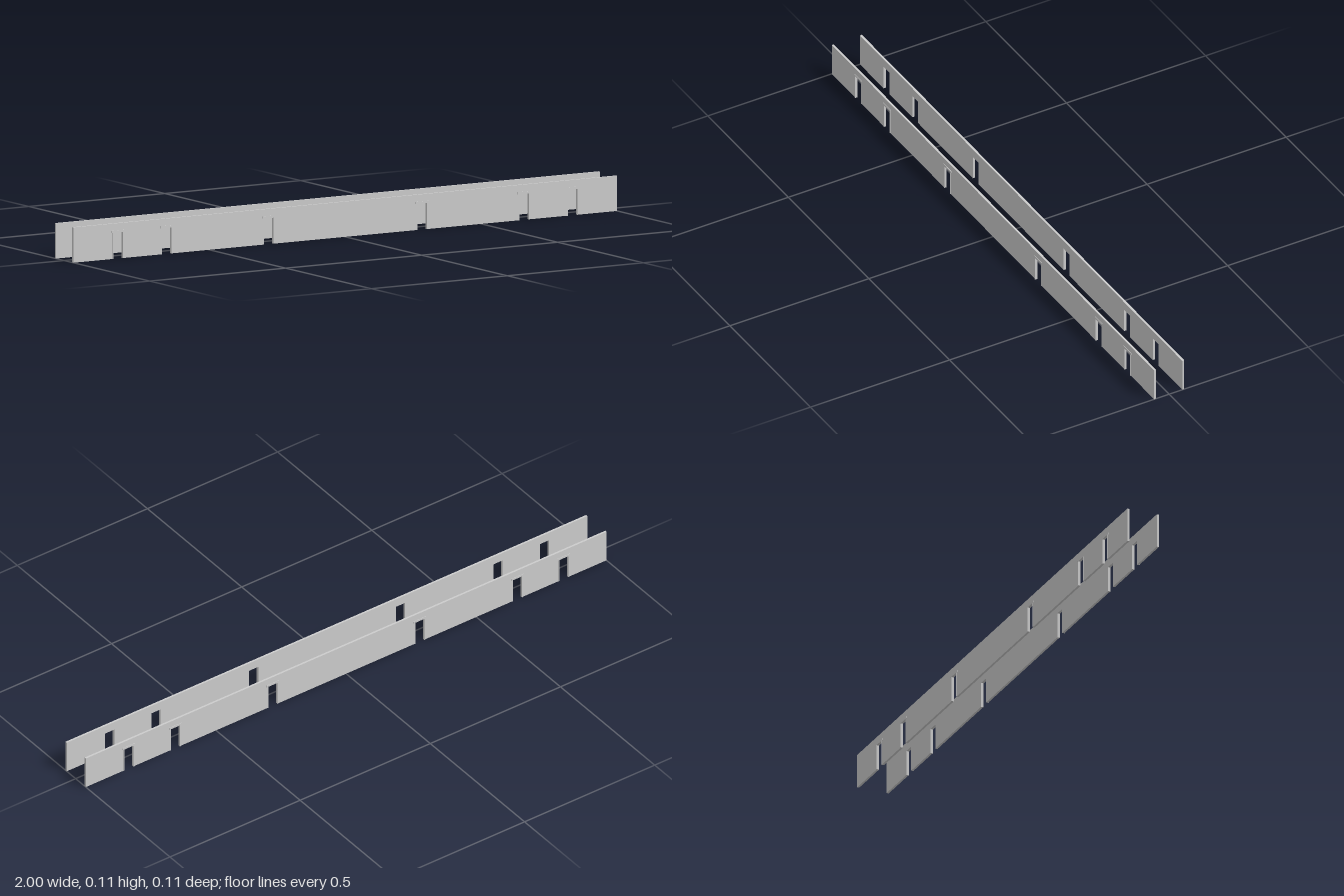
import * as THREE from 'three';

const HEIGHT = 0.111, DEPTH = 0.007, INNER = 0.047;
const DOOR_H = 0.082, DOOR_W = 0.035;
const DOORS = [-0.835, -0.657, -0.282, 0.282, 0.657, 0.835];

export function createModel() {
  const model = new THREE.Group();
  const material = new THREE.MeshStandardMaterial({ color: 0xcccccc });

  // Long wall outline with door openings cut up from the bottom edge
  const outline = new THREE.Shape();
  outline.moveTo(-1, 0);
  for (const x of DOORS) {
    const l = x - DOOR_W / 2, r = x + DOOR_W / 2;
    outline.lineTo(l, 0);
    outline.lineTo(l, DOOR_H);
    outline.lineTo(r, DOOR_H);
    outline.lineTo(r, 0);
  }
  outline.lineTo(1, 0);
  outline.lineTo(1, HEIGHT);
  outline.lineTo(-1, HEIGHT);
  const wallGeometry = new THREE.ExtrudeGeometry(outline, { depth: DEPTH, bevelEnabled: false });

  // Thin door trim: two jambs and a slightly wider lintel
  const trimDepth = 0.0015, jamb = 0.003, lintelH = 0.007;
  const jambGeometry = new THREE.BoxGeometry(jamb, DOOR_H, trimDepth);
  const lintelGeometry = new THREE.BoxGeometry(DOOR_W + 0.012, lintelH, trimDepth);

  function add(parent, name, geometry, x, y, z) {
    const mesh = new THREE.Mesh(geometry, material);
    mesh.name = name;
    mesh.position.set(x, y, z);
    parent.add(mesh);
  }

  // Front wall, and the same wall turned round for the back
  for (const [name, turn] of [['frontWall', 0], ['backWall', Math.PI]]) {
    const side = new THREE.Group();
    side.name = name;
    side.rotation.y = turn;
    add(side, 'wallPanel', wallGeometry, 0, 0, INNER);
    const z = INNER + DEPTH + trimDepth / 2;
    for (const x of DOORS) {
      for (const s of [-1, 1]) {
        add(side, 'doorJamb', jambGeometry, x + s * (DOOR_W + jamb) / 2, DOOR_H / 2, z);
      }
      add(side, 'doorLintel', lintelGeometry, x, DOOR_H + lintelH / 2, z);
    }
    model.add(side);
  }
  return model;
}
